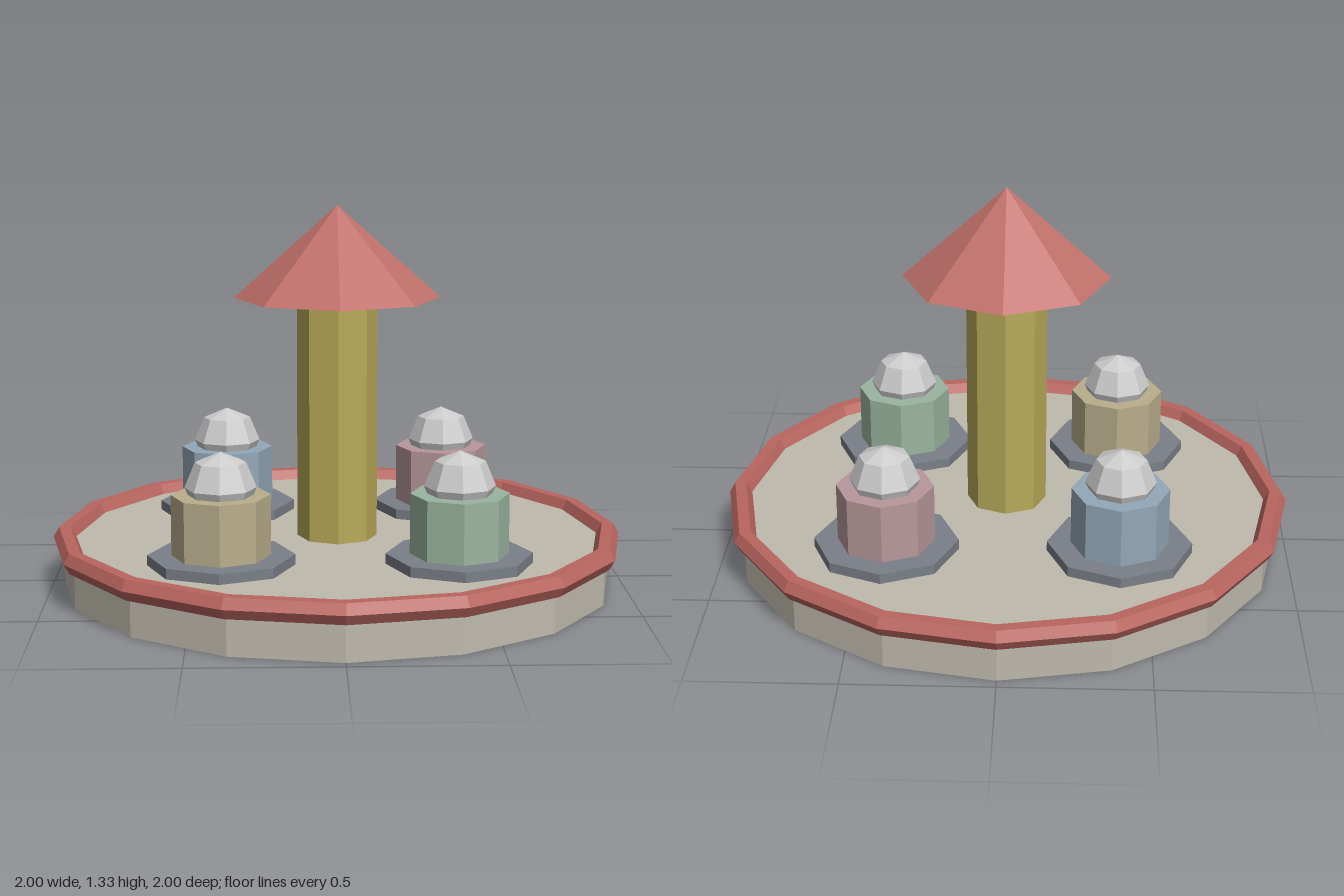
import * as THREE from 'three';

const BASE_TOP = 0.16;

function part(name, geometry, color, y) {
  const material = new THREE.MeshStandardMaterial({ color, flatShading: true });
  const mesh = new THREE.Mesh(geometry, material);
  mesh.name = name;
  mesh.position.y = y;
  return mesh;
}

// Upright prism standing on the given height
function prism(name, radius, bottom, top, sides, color) {
  const geometry = new THREE.CylinderGeometry(radius, radius, top - bottom, sides);
  return part(name, geometry, color, (bottom + top) / 2);
}

// Octagonal seat pod: floor pad, coloured tub and faceted dome
function createPod(name, x, z, color) {
  const pod = new THREE.Group();
  pod.name = name;
  pod.add(prism('pad', 0.247, BASE_TOP, 0.195, 8, 0x7a7f87));
  pod.add(prism('tub', 0.166, BASE_TOP, 0.4, 8, color));
  pod.add(part('dome', new THREE.SphereGeometry(0.12, 8, 4), 0xcccccc, 0.425));
  pod.position.set(x, 0, z);
  return pod;
}

export function createModel() {
  const model = new THREE.Group();
  model.name = 'carousel';

  // Sixteen-sided platform with a hexagonal-section rim
  model.add(prism('platform', 0.963, 0, BASE_TOP, 16, 0xbfbaad));
  const rim = new THREE.TorusGeometry(0.96, 0.04, 6, 16).rotateX(Math.PI / 2);
  model.add(part('rim', rim, 0xb9655f, BASE_TOP));

  // Central column and pointed roof
  model.add(prism('column', 0.14, BASE_TOP, 1.02, 8, 0xb8aa59));
  model.add(part('roof', new THREE.ConeGeometry(0.358, 0.32, 8), 0xc0706a, 1.165));

  // Four pods around the column
  model.add(createPod('frontLeftPod', 0.397, 0.397, 0x9ab5a0));
  model.add(createPod('frontRightPod', -0.397, 0.397, 0xb9ae8c));
  model.add(createPod('backLeftPod', 0.397, -0.397, 0xb8989c));
  model.add(createPod('backRightPod', -0.397, -0.397, 0x93a8b8));

  return model;
}
